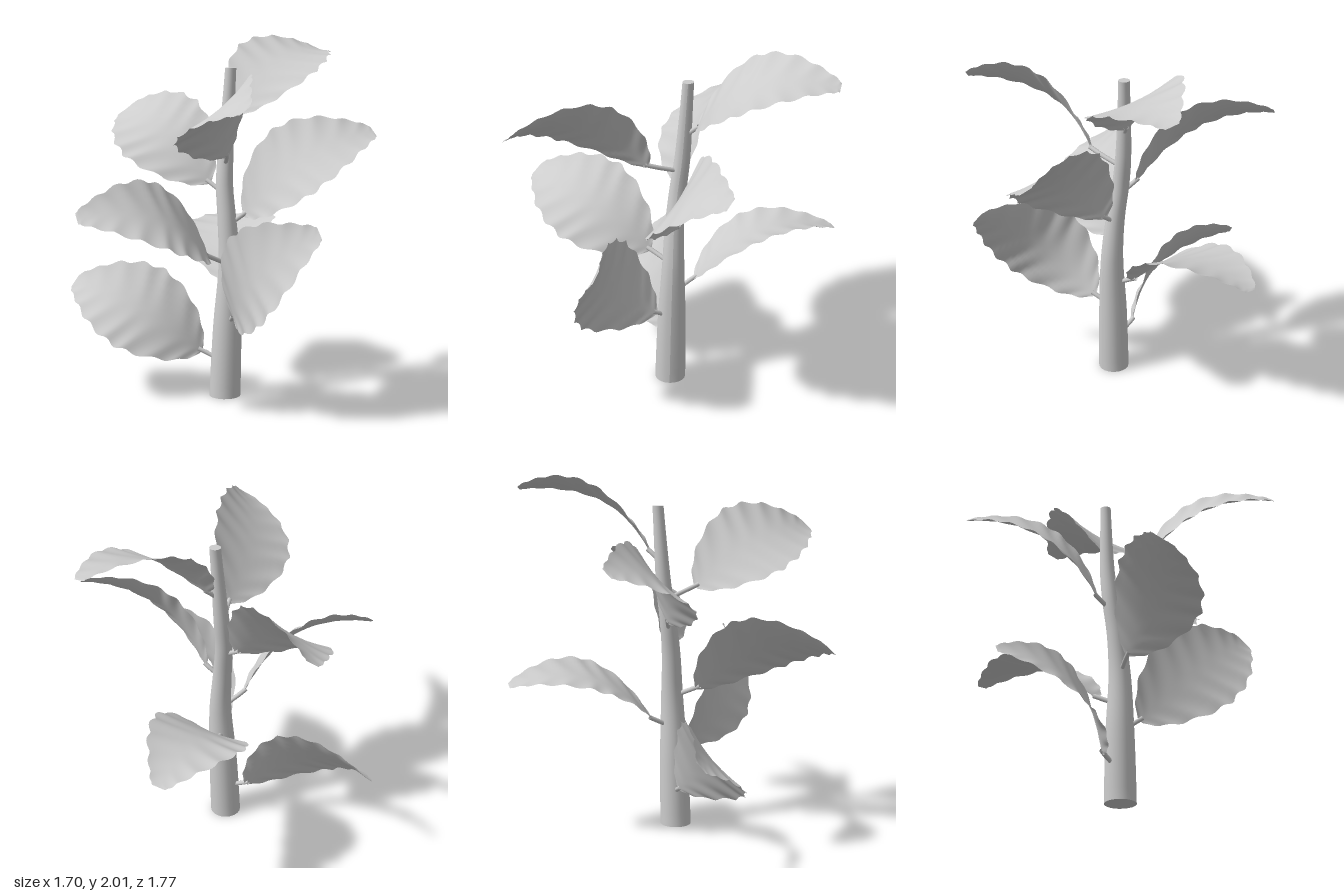
import * as THREE from 'three';

const V = (a) => new THREE.Vector3(...a);

// Stem centre line: x, y, z, radius
const STEM = [
  [0.08, 0, 0.055, 0.088], [0.09, 0.4, 0.045, 0.08], [0.1, 0.75, 0.035, 0.063],
  [0.08, 1.0, 0.028, 0.053], [0.057, 1.2, 0.01, 0.048], [0.055, 1.4, -0.015, 0.043],
  [0.07, 1.84, -0.046, 0.031],
];

// Each leaf: base, tip and the direction its upper face bulges
const LEAVES = [
  { base: [-0.06, 0.245, 0.065], tip: [-0.84, 0.595, 0.125], up: [0.31, 0.56, 0.78] },
  { base: [0.16, 0.47, 0.13], tip: [0.75, 1.03, 0.4], up: [-0.47, 0.17, 0.87] },
  { base: [0.03, 0.63, -0.08], tip: [-0.16, 0.88, -0.875], up: [-0.1, 1, 0.3] },
  { base: [0.03, 0.81, 0.17], tip: [-0.405, 1.1, 0.86], up: [0.65, 0.74, 0.13] },
  { base: [0.17, 1.03, 0], tip: [0.825, 1.495, -0.28], up: [-0.06, 0.63, 0.78] },
  { base: [-0.04, 1.2, 0], tip: [-0.73, 1.57, -0.34], up: [0, 0.71, 0.7] },
  { base: [0.14, 1.375, 0.17], tip: [0.525, 1.685, 0.86], up: [-0.66, 0.73, 0.13] },
  { base: [0.09, 1.58, -0.09], tip: [0.33, 1.92, -0.825], up: [0.19, 1, 0.5] },
];

// Grid surface from a point function, rows by columns
function gridGeometry(rows, cols, point) {
  const pos = [], index = [];
  for (let i = 0; i <= rows; i++)
    for (let j = 0; j <= cols; j++) pos.push(...point(i / rows, j / cols));
  for (let i = 0; i < rows; i++)
    for (let j = 0; j < cols; j++) {
      const a = i * (cols + 1) + j, b = a + cols + 1;
      index.push(a, a + 1, b, b, a + 1, b + 1);
    }
  const g = new THREE.BufferGeometry();
  g.setAttribute('position', new THREE.Float32BufferAttribute(pos, 3));
  g.setIndex(index);
  g.computeVertexNormals();
  return g;
}

// Leaf of unit chord along +x: arched, gently cupped, toothed margin, rippled side veins
function leafGeometry() {
  const outline = new THREE.SplineCurve([
    [0, 0.02], [0.05, 0.11], [0.18, 0.22], [0.38, 0.298], [0.54, 0.3],
    [0.72, 0.245], [0.87, 0.155], [0.97, 0.08], [1, 0.045],
  ].map((p) => new THREE.Vector2(...p)));
  return gridGeometry(66, 12, (t, s) => {
    const p = outline.getPoint(t), v = s * 2 - 1, a = Math.abs(v);
    const fade = Math.sin(Math.PI * t);
    const phase = 2 * Math.PI * 9 * (t - 0.08 * a);
    const tooth = 0.013 * Math.sin(phase) * a * fade;
    const ripple = 0.007 * Math.cos(phase) * a * fade;
    const y = 0.7 * p.x * (1 - p.x) + ripple + 0.03 * v * v * fade;
    return [p.x, y, v * p.y + Math.sign(v) * tooth];
  });
}

function stemCentre(y) {
  let i = 1;
  while (i < STEM.length - 1 && STEM[i][1] < y) i++;
  const a = STEM[i - 1], b = STEM[i], k = (y - a[1]) / (b[1] - a[1]);
  return new THREE.Vector3(a[0] + (b[0] - a[0]) * k, y, a[2] + (b[2] - a[2]) * k);
}

export function createModel() {
  const plant = new THREE.Group();
  plant.name = 'plant';
  const grey = new THREE.MeshStandardMaterial({ color: 0xcccccc, side: THREE.DoubleSide });
  grey.name = 'light grey';
  const add = (geometry, name, parent = plant) => {
    const mesh = new THREE.Mesh(geometry, grey);
    mesh.name = name;
    parent.add(mesh);
    return mesh;
  };

  // Stem: bent, tapering, closed at both ends
  const centre = new THREE.CatmullRomCurve3(STEM.map((s) => V(s)));
  const radius = new THREE.SplineCurve(STEM.map((s, i) => new THREE.Vector2(i, s[3])));
  add(gridGeometry(36, 20, (t, s) => {
    const c = centre.getPoint(t), r = radius.getPoint(t).y, a = -s * Math.PI * 2;
    return [c.x + r * Math.cos(a), c.y, c.z + r * Math.sin(a)];
  }), 'stem');
  [[STEM[0], 1], [STEM[STEM.length - 1], -1]].forEach(([s, side]) => {
    const cap = add(new THREE.CircleGeometry(s[3], 20), side > 0 ? 'stemFoot' : 'stemTop');
    cap.position.set(s[0], s[1], s[2]);
    cap.rotation.x = side * Math.PI / 2;
  });

  // Leaves, each on a short curved stalk
  const blade = leafGeometry();
  LEAVES.forEach(({ base, tip, up }, i) => {
    const leaf = new THREE.Group();
    leaf.name = 'leaf' + (i + 1);
    plant.add(leaf);

    const b = V(base), along = V(tip).sub(b), length = along.length();
    along.normalize();
    const across = along.clone().cross(V(up)).normalize();
    const normal = across.clone().cross(along);
    const mesh = add(blade, 'leafBlade', leaf);
    mesh.quaternion.setFromRotationMatrix(new THREE.Matrix4().makeBasis(along, normal, across));
    mesh.position.copy(b);
    mesh.scale.setScalar(length);

    const root = stemCentre(b.y - 0.06);
    const bend = root.clone().lerp(b, 0.75);
    bend.y = b.y - 0.01;
    const end = b.clone().addScaledVector(along, 0.02).addScaledVector(normal, 0.01);
    add(new THREE.TubeGeometry(new THREE.CatmullRomCurve3([root, bend, end]), 10, 0.013, 8), 'leafStalk', leaf);
  });

  return plant;
}
